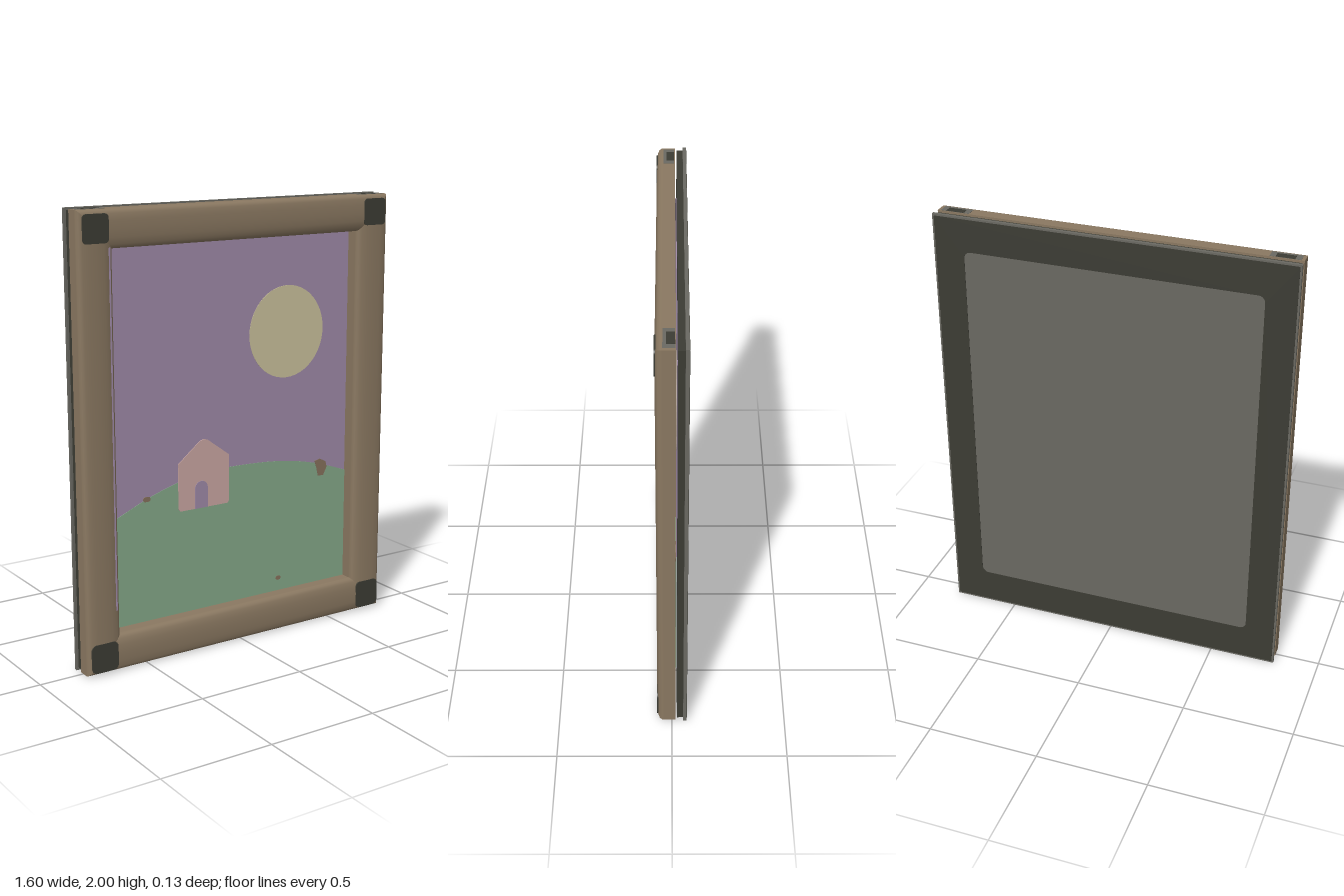
import * as THREE from 'three';

const mat = (name, color, extra = {}) => Object.assign(new THREE.MeshStandardMaterial({ color, ...extra }), { name });

export function createModel() {
  const wood = mat('wood', 0x8a7861);
  const dark = mat('darkMetal', 0x3c3c34);
  const grey = mat('greyBoard', 0x6a6962);
  const sky = mat('skyPurple', 0x9f8aa8);
  const green = mat('hillGreen', 0x84a888);
  const cream = mat('moonCream', 0xcbc19c);
  const pink = mat('housePink', 0xcba7a3);
  const brown = mat('bushBrown', 0x86705c);

  const root = new THREE.Group();
  root.name = 'framedPicture';
  const add = (name, geo, material, parent = root) => {
    const m = new THREE.Mesh(geo, material);
    m.name = name;
    parent.add(m);
    return m;
  };
  const box = (name, material, x0, x1, y0, y1, z0, z1) => {
    const m = add(name, new THREE.BoxGeometry(x1 - x0, y1 - y0, z1 - z0), material);
    m.position.set((x0 + x1) / 2, (y0 + y1) / 2, (z0 + z1) / 2);
    return m;
  };
  // Flat shape given a small thickness, spanning z0 to z1
  const plate = (name, shape, material, z0, z1) => {
    const geo = new THREE.ExtrudeGeometry(shape, { depth: z1 - z0, bevelEnabled: false, curveSegments: 24 });
    return add(name, geo.translate(0, 0, z0), material);
  };
  const roundRect = (x0, x1, y0, y1, r) => {
    const s = new THREE.Shape();
    s.absarc(x1 - r, y1 - r, r, 0, Math.PI / 2);
    s.absarc(x0 + r, y1 - r, r, Math.PI / 2, Math.PI);
    s.absarc(x0 + r, y0 + r, r, Math.PI, Math.PI * 1.5);
    s.absarc(x1 - r, y0 + r, r, Math.PI * 1.5, Math.PI * 2);
    return s;
  };

  // Moulding profile: inset from the outer edge, depth z
  const profile = [
    [0.03, -0.015], [0.003, -0.015], [0.003, -0.015], [0.003, 0.035], [0.003, 0.042], [0.009, 0.054],
    [0.022, 0.061], [0.05, 0.064], [0.085, 0.065], [0.12, 0.063], [0.148, 0.057],
    [0.161, 0.048], [0.166, 0.036], [0.166, 0.03], [0.166, -0.022],
  ];
  // One mitred length of moulding; the corner sequence runs counter-clockwise
  const corners = [[-1, -1], [1, -1], [1, 1], [-1, 1]];
  const moulding = (a, b) => {
    const pos = [], idx = [];
    profile.forEach(([t, z], i) => {
      for (const [sx, sy] of [a, b]) pos.push(sx * (0.8 - t), 1 + sy * (1 - t), z);
      if (i) {
        const k = i * 2;
        idx.push(k - 2, k - 1, k + 1, k - 2, k + 1, k);
      }
    });
    const geo = new THREE.BufferGeometry();
    geo.setAttribute('position', new THREE.Float32BufferAttribute(pos, 3));
    geo.setIndex(idx);
    geo.computeVertexNormals();
    return geo;
  };
  const frame = new THREE.Group();
  frame.name = 'frame';
  root.add(frame);
  ['bottomRail', 'leftStile', 'topRail', 'rightStile'].forEach((name, i) =>
    add(name, moulding(corners[i], corners[(i + 1) % 4]), wood, frame));

  // Dark corner plates on the face of the moulding
  for (const s of [-1, 1]) {
    const c = s * 0.718;
    plate('topCornerPlate', roundRect(c - 0.06, c + 0.06, 1.86, 1.98, 0.018), dark, 0.058, 0.0665);
    plate('bottomCornerPlate', roundRect(c - 0.064, c + 0.064, 0.015, 0.145, 0.025), dark, 0.058, 0.0665);
    // Grey caps with a dark patch on the top edge
    box('topEdgeCap', grey, c - 0.065, c + 0.065, 1.99, 1.9982, -0.012, 0.035);
    box('topEdgePatch', dark, c - 0.04, c + 0.04, 1.991, 1.999, -0.012, 0.022);
  }

  // Inner shadow strip and thin purple edge on the right side of the opening
  box('innerStrip', dark, -0.638, -0.633, 0.17, 1.83, -0.02, 0.034);
  box('purpleEdge', sky, -0.657, -0.65, 0.28, 1.84, 0.052, 0.0595);

  // Recessed core, back board and rear border
  box('core', dark, -0.79, 0.79, 0.01, 1.99, -0.05, -0.022);
  box('backBoard', grey, -0.8, 0.8, 0, 2, -0.065, -0.05);
  const border = roundRect(-0.792, 0.792, 0.008, 1.992, 0.004);
  border.holes.push(roundRect(-0.66, 0.66, 0.165, 1.845, 0.03));
  plate('backBorder', border, dark, -0.0665, -0.0645);

  // Picture: sky, moon, hill, house and bushes in thin layers
  box('sky', sky, -0.636, 0.636, 0.164, 1.836, -0.024, -0.019);

  const moon = new THREE.Shape();
  moon.absellipse(0.288, 1.396, 0.203, 0.211, 0, Math.PI * 2);
  plate('moon', moon, cream, -0.02, -0.017);

  const hill = new THREE.Shape();
  hill.moveTo(-0.636, 0.166);
  hill.lineTo(0.636, 0.166);
  hill.lineTo(0.636, 0.695);
  hill.splineThru([[0.45, 0.757], [0.25, 0.795], [0, 0.808], [-0.2, 0.797], [-0.42, 0.74], [-0.636, 0.65]]
    .map(([x, y]) => new THREE.Vector2(x, y)));
  plate('hill', hill, green, -0.02, -0.017);

  const house = new THREE.Shape([
    [-0.285, 0.643], [-0.035, 0.643], [-0.026, 0.655], [-0.026, 0.868], [-0.14, 0.952],
    [-0.16, 0.957], [-0.182, 0.95], [-0.294, 0.86], [-0.294, 0.655],
  ].map(([x, y]) => new THREE.Vector2(x, y)));
  plate('house', house, pink, -0.018, -0.015);

  const door = new THREE.Shape();
  door.moveTo(-0.208, 0.643);
  door.lineTo(-0.142, 0.643);
  door.absarc(-0.175, 0.735, 0.033, 0, Math.PI);
  plate('door', door, sky, -0.016, -0.013);

  const bush = new THREE.Shape([
    [0.475, 0.69], [0.505, 0.69], [0.525, 0.728], [0.518, 0.755], [0.485, 0.772], [0.455, 0.765], [0.466, 0.73],
  ].map(([x, y]) => new THREE.Vector2(x, y)));
  plate('bush', bush, brown, -0.018, -0.015);
  plate('smallBush', roundRect(-0.472, -0.437, 0.716, 0.738, 0.01), brown, -0.018, -0.015);
  plate('stone', roundRect(0.236, 0.262, 0.218, 0.238, 0.009), brown, -0.018, -0.015);

  return root;
}
